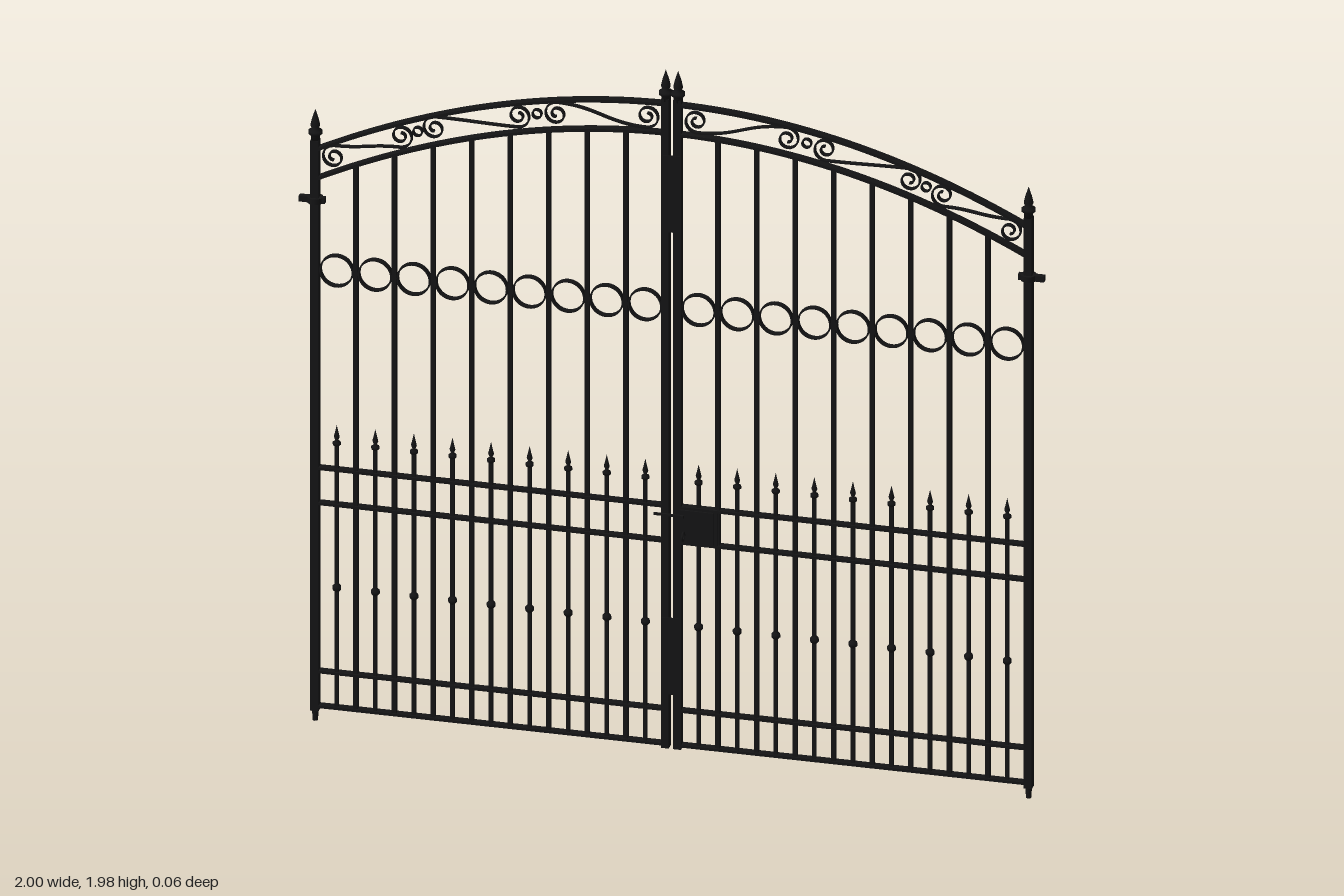
import * as THREE from 'three';
import { toCreasedNormals } from 'three/addons/utils/BufferGeometryUtils.js';

const Z = -0.009; // plane of the two gate leaves
const archY = (x, top) => top - (x * x) / 3.78;

export function createModel() {
  const iron = new THREE.MeshStandardMaterial({ color: 0x141415 });
  iron.name = 'blackIron';
  const gate = new THREE.Group();
  gate.name = 'doubleGate';

  function add(parent, name, geometry, x = 0, y = 0, z = Z) {
    const mesh = new THREE.Mesh(geometry, iron);
    mesh.name = name;
    mesh.position.set(x, y, z);
    parent.add(mesh);
    return mesh;
  }

  // Box given by its x and y limits
  function box(parent, name, x0, x1, y0, y1, depth, z = Z) {
    return add(parent, name, new THREE.BoxGeometry(x1 - x0, y1 - y0, depth), (x0 + x1) / 2, (y0 + y1) / 2, z);
  }

  // Turned part from [radius, height] pairs
  const turned = (pairs, sides = 12) =>
    new THREE.LatheGeometry(pairs.map(([r, y]) => new THREE.Vector2(r, y)), sides);

  // Flat iron strip: a rectangular section swept along a path in the gate plane
  function strip(path, thickness, depth) {
    const positions = [], index = [];
    const quad = (a, b, c, d) => index.push(a, b, c, a, c, d);
    path.forEach((p, i) => {
      const a = path[Math.max(i - 1, 0)], b = path[Math.min(i + 1, path.length - 1)];
      const n = new THREE.Vector2(a.y - b.y, b.x - a.x).normalize().multiplyScalar(thickness / 2);
      for (const [s, t] of [[1, 1], [-1, 1], [-1, -1], [1, -1]])
        positions.push(p.x + s * n.x, p.y + s * n.y, (t * depth) / 2);
      if (i === 0) return;
      const k = 4 * i;
      for (let c = 0; c < 4; c++) quad(k - 4 + c, k - 4 + ((c + 1) % 4), k + ((c + 1) % 4), k + c);
    });
    const last = 4 * (path.length - 1);
    quad(3, 2, 1, 0);
    quad(last, last + 1, last + 2, last + 3);
    const geometry = new THREE.BufferGeometry();
    geometry.setAttribute('position', new THREE.Float32BufferAttribute(positions, 3));
    geometry.setIndex(index);
    return toCreasedNormals(geometry, 0.7);
  }

  function hoop(radius, thickness, depth, segments) {
    const shape = new THREE.Shape().absarc(0, 0, radius, 0, Math.PI * 2);
    shape.holes.push(new THREE.Path().absarc(0, 0, radius - thickness, 0, Math.PI * 2, true));
    return new THREE.ExtrudeGeometry(shape, { depth, bevelEnabled: false, curveSegments: segments })
      .translate(0, 0, -depth / 2);
  }

  // S scroll: a spiral at each end, joined by a sweeping curve
  function scrollPath(outer, inner) {
    const spiral = (c, endAngle) => Array.from({ length: 31 }, (_, i) => {
      const t = i / 30, a = endAngle - (1 - t) * Math.PI * 3, r = 0.008 + 0.025 * t;
      return new THREE.Vector2(c.x + r * Math.cos(a), c.y + r * Math.sin(a));
    });
    const start = spiral(outer, Math.PI / 2), end = spiral(inner, -Math.PI / 2).reverse();
    const from = start[30], to = end[0], reach = (from.x - to.x) * 0.45;
    const sweep = new THREE.CubicBezierCurve(from, new THREE.Vector2(from.x - reach, from.y),
      new THREE.Vector2(to.x + reach, to.y), to);
    return [...start, ...sweep.getPoints(20).slice(1, -1), ...end];
  }

  const finial = turned([[0, 0], [0.012, 0], [0.012, 0.012], [0.019, 0.018], [0.019, 0.026],
    [0.009, 0.032], [0.013, 0.042], [0.009, 0.06], [0, 0.088]]);
  const spear = turned([[0.004, 0], [0.011, 0.006], [0.011, 0.013], [0.004, 0.018],
    [0.008, 0.028], [0.004, 0.044], [0, 0.062]], 8);
  const knob = turned([[0.004, -0.013], [0.012, -0.004], [0.012, 0.004], [0.004, 0.013]], 8);
  const ring = hoop(0.0455, 0.004, 0.016, 24);
  const smallRing = hoop(0.014, 0.004, 0.012, 12);

  for (const side of [1, -1]) {
    const leaf = new THREE.Group();
    leaf.name = side > 0 ? 'leftLeaf' : 'rightLeaf';
    gate.add(leaf);
    const span = (name, a, b, ...rest) =>
      box(leaf, name, Math.min(a * side, b * side), Math.max(a * side, b * side), ...rest);
    const mirrored = (path) => path.map((p) => new THREE.Vector2(side * p.x, p.y));

    // Posts with finials
    span('hingePost', 0.946, 0.968, 0.03, 1.67, 0.023);
    add(leaf, 'hingePostFoot', new THREE.CylinderGeometry(0.009, 0.007, 0.034, 10), side * 0.957, 0.017);
    add(leaf, 'hingePostFinial', finial, side * 0.957, 1.67);
    span('meetingPost', 0.006, 0.027, 0.033, 1.9, 0.023);
    add(leaf, 'meetingPostFinial', finial, side * 0.0165, 1.893);

    // Hinge pin near the top of the outer post
    add(leaf, 'hingeCollar', new THREE.CylinderGeometry(0.021, 0.021, 0.016, 14), side * 0.957, 1.498);
    span('hingePin', 0.93, 1.0, 1.49, 1.506, 0.016);

    // Flat horizontal rails
    for (const y of [0.043, 0.143, 0.627, 0.728]) span('rail', 0.02, 0.95, y - 0.0035, y + 0.0035, 0.022);

    // Tall bars up to the arch
    for (let i = 0; i < 8; i++) {
      const x = 0.1235 + 0.1035 * i;
      span('tallBar', x - 0.006, x + 0.006, 0.043, archY(x, 1.8), 0.012);
    }

    // Short spear pickets with a ring above each
    for (let i = 0; i < 9; i++) {
      const x = 0.0715 + 0.1035 * i;
      span('picket', x - 0.005, x + 0.005, 0.043, 0.796, 0.01);
      add(leaf, 'picketSpear', spear, side * x, 0.793);
      add(leaf, 'picketKnob', knob, side * x, 0.387);
      add(leaf, 'ring', ring, side * x, 1.299);
    }

    // Curved top rails
    for (const top of [1.884, 1.8]) {
      const path = Array.from({ length: 33 }, (_, i) => {
        const x = 0.02 + (0.93 * i) / 32;
        return new THREE.Vector2(x, archY(x, top));
      });
      add(leaf, 'archRail', strip(mirrored(path), 0.008, 0.024));
    }

    // Scrollwork between the curved rails
    const at = (x, lift) => new THREE.Vector2(x, archY(x, 1.843) + lift);
    for (const [outer, inner] of [[at(0.907, 0), at(0.727, 0.004)], [at(0.637, 0.004), at(0.412, 0.004)],
      [at(0.31, 0.002), at(0.066, 0)]])
      add(leaf, 'scroll', strip(mirrored(scrollPath(outer, inner)), 0.0045, 0.012));
    for (const x of [0.682, 0.362]) add(leaf, 'scrollRing', smallRing, side * x, archY(x, 1.848));
  }

  // Cover plates over the meeting posts
  for (const [y0, y1] of [[0.19, 0.41], [1.52, 1.74]]) box(gate, 'coverPlate', -0.025, 0.025, y0, y1, 0.004, 0.003);

  // Lock case, latch bolt and handle
  const lock = new THREE.Group();
  lock.name = 'lock';
  gate.add(lock);
  box(lock, 'lockCase', 0.022, 0.125, 0.627, 0.73, 0.022);
  box(lock, 'lockPlate', 0.024, 0.115, 0.632, 0.725, 0.006, 0.004);
  box(lock, 'latchBolt', -0.045, 0.035, 0.705, 0.711, 0.006, 0.008);
  box(lock, 'latchStop', 0.03, 0.036, 0.704, 0.712, 0.012, 0.01);
  const handle = add(lock, 'handle', new THREE.TorusGeometry(0.011, 0.003, 8, 16), 0.037, 0.656, 0.019);
  handle.rotation.y = Math.PI / 2;

  return gate;
}
